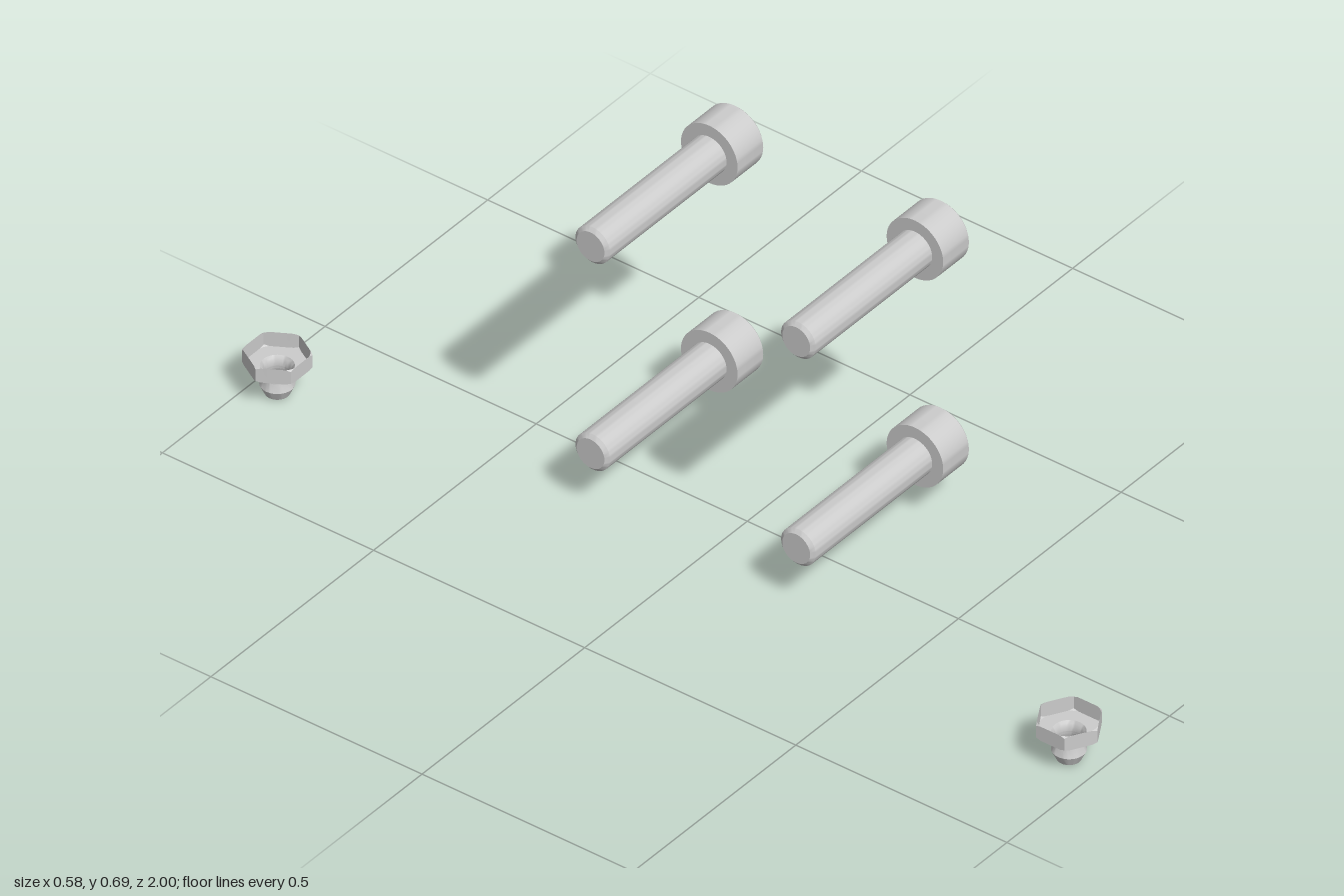
import * as THREE from 'three';
import { toCreasedNormals } from 'three/addons/utils/BufferGeometryUtils.js';

const metal = new THREE.MeshStandardMaterial({ color: 0xcccccc });
const thinMetal = new THREE.MeshStandardMaterial({ color: 0xcccccc, side: THREE.DoubleSide });

const lathe = (profile, segments) =>
  new THREE.LatheGeometry(profile.map(([r, y]) => new THREE.Vector2(r, y)), segments);

function mesh(name, geometry, material = metal) {
  const m = new THREE.Mesh(geometry, material);
  m.name = name;
  return m;
}

// Socket-head bolt, built upright and then laid along +x
function createBolt() {
  const tip = -0.16, shoulder = 0.205, top = 0.288;
  const shankR = 0.041, headR = 0.067, rimR = 0.063, socketR = 0.036, depth = 0.045;
  const bolt = new THREE.Group();

  bolt.add(mesh('shank', toCreasedNormals(lathe([
    [0, tip], [0.033, tip], [shankR, tip + 0.007], [shankR, shoulder],
  ], 48), 0.5)));

  bolt.add(mesh('head', toCreasedNormals(lathe([
    [shankR, shoulder], [headR, shoulder], [headR, top - 0.004], [rimR, top],
  ], 48), 0.5)));

  // Head face with a hexagonal opening
  const face = new THREE.Shape().absarc(0, 0, rimR, 0, Math.PI * 2);
  const hex = [];
  for (let i = 0; i < 6; i++) {
    const a = (i * Math.PI) / 3;
    hex.push(new THREE.Vector2(socketR * Math.cos(a), socketR * Math.sin(a)));
  }
  face.holes.push(new THREE.Path(hex));
  const faceGeometry = new THREE.ShapeGeometry(face, 48);
  faceGeometry.rotateX(-Math.PI / 2).translate(0, top, 0);
  bolt.add(mesh('headFace', faceGeometry));

  // Socket walls and floor
  const walls = new THREE.CylinderGeometry(socketR, socketR, depth, 6, 1, true, Math.PI / 2);
  walls.translate(0, top - depth / 2, 0);
  bolt.add(mesh('socketWalls', toCreasedNormals(walls, 0.5), thinMetal));
  const floor = new THREE.CircleGeometry(socketR, 6);
  floor.rotateX(-Math.PI / 2).translate(0, top - depth, 0);
  bolt.add(mesh('socketFloor', floor));

  bolt.rotation.z = -Math.PI / 2;
  return bolt;
}

// Small hex fitting: an open hexagonal cup over a waisted nipple
function createFitting() {
  const fitting = new THREE.Group();
  const cornerR = 0.067, chamferR = 0.0625, low = 0.067, high = 0.1;
  const profile = [
    [0, 0.004], [0.024, 0.004], [0.034, 0.025], [0.0335, 0.027],
    [0.026, 0.041], [0.0255, 0.047], [0.027, 0.056], [0.0295, 0.062], [0.033, low],
    [chamferR, low], [cornerR, low], [cornerR, high], [chamferR, high],
  ];
  const geometry = lathe(profile, 48);
  const p = geometry.attributes.position;
  const n = profile.length;

  // Pull the last four rings onto a hexagon with chamfered corners
  for (let i = 0; i < p.count; i++) {
    const ring = i % n;
    if (ring < n - 4) continue;
    const angle = (Math.floor(i / n) / 48) * Math.PI * 2;
    const offset = (angle % (Math.PI / 3)) - Math.PI / 6;
    const hexR = (cornerR * Math.cos(Math.PI / 6)) / Math.cos(offset);
    const drop = Math.max(0.0002, (hexR - chamferR) * 0.65);
    const edge = ring === n - 4 || ring === n - 1;
    const r = edge ? Math.min(hexR, chamferR) : hexR;
    let y = ring < n - 2 ? low : high;
    if (!edge) y += ring < n - 2 ? drop : -drop;
    p.setXYZ(i, r * Math.sin(angle), y, r * Math.cos(angle));
  }
  fitting.add(mesh('hexCupAndNipple', toCreasedNormals(geometry, 0.5), thinMetal));

  // Check ball in the tip
  const ball = new THREE.SphereGeometry(0.009, 20, 12);
  ball.translate(0, 0.009, 0);
  fitting.add(mesh('checkBall', ball));
  return fitting;
}

export function createModel() {
  const model = new THREE.Group();
  model.name = 'boltsAndFittings';

  // Four bolts in a square
  for (const [level, y] of [['lower', 0.14], ['upper', 0.625]]) {
    for (const [end, z] of [['Front', 0.239], ['Back', -0.248]]) {
      const bolt = createBolt();
      bolt.name = `${level}${end}Bolt`;
      bolt.position.set(0, y, z);
      model.add(bolt);
    }
  }

  // One fitting at each end, turned 30 degrees from one another
  for (const [name, z, turn] of [['frontFitting', 0.933, 0], ['backFitting', -0.942, Math.PI / 6]]) {
    const fitting = createFitting();
    fitting.name = name;
    fitting.position.set(-0.222, 0, z);
    fitting.rotation.y = turn;
    model.add(fitting);
  }
  return model;
}
